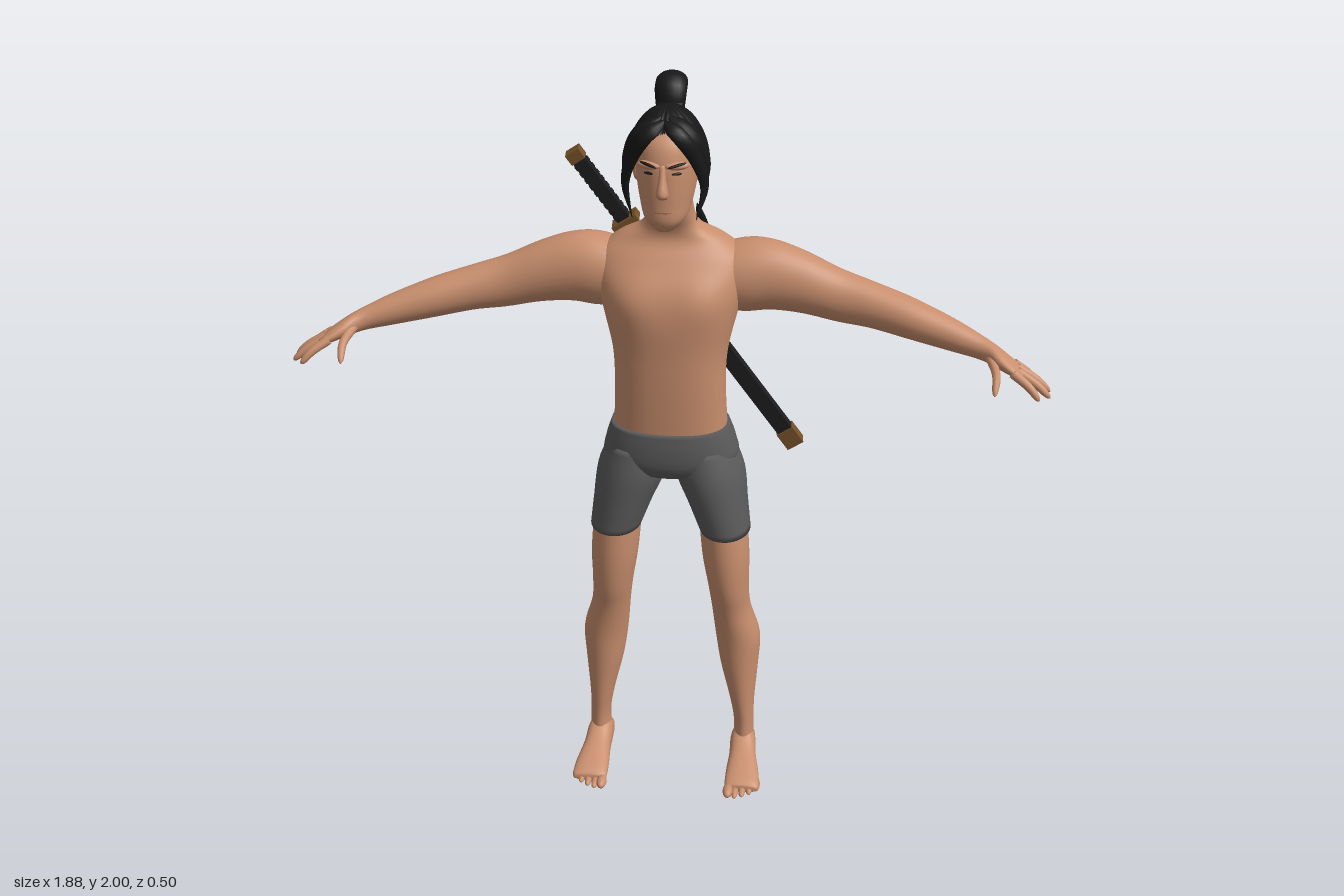
import * as THREE from 'three';

const V = (x, y, z) => new THREE.Vector3(x, y, z);
const material = (name, color) => {
  const m = new THREE.MeshStandardMaterial({ color });
  m.name = name;
  return m;
};

// Skin a row of rings { c, u, v, n }: centre, two half-axes, superellipse power
function skinRings(rings, sides = 32) {
  const pos = [], idx = [];
  const first = rings[0], last = rings[rings.length - 1];
  const flip = V(0, 0, 0).crossVectors(first.u, first.v).dot(rings[1].c.clone().sub(first.c)) < 0;
  const tri = (a, b, c) => (flip ? idx.push(a, c, b) : idx.push(a, b, c));
  const sp = (t, n) => Math.sign(t) * Math.abs(t) ** (2 / n);
  for (const r of rings) {
    for (let j = 0; j < sides; j++) {
      const a = (j / sides) * Math.PI * 2;
      const p = r.c.clone().addScaledVector(r.u, sp(Math.cos(a), r.n)).addScaledVector(r.v, sp(Math.sin(a), r.n));
      pos.push(p.x, p.y, p.z);
    }
  }
  for (let i = 0; i < rings.length - 1; i++) {
    for (let j = 0; j < sides; j++) {
      const a = i * sides + j, b = i * sides + ((j + 1) % sides);
      tri(a, b, a + sides);
      tri(b, b + sides, a + sides);
    }
  }
  // end caps
  const e = rings.length * sides, o = e - sides;
  pos.push(...first.c.toArray(), ...last.c.toArray());
  for (let j = 0; j < sides; j++) {
    const k = (j + 1) % sides;
    tri(e, k, j);
    tri(e + 1, o + j, o + k);
  }
  const g = new THREE.BufferGeometry();
  g.setAttribute('position', new THREE.Float32BufferAttribute(pos, 3));
  g.setIndex(idx);
  g.computeVertexNormals();
  return g;
}

// Smooth loft along one axis; rows are [along, centre1, centre2, radius1, radius2]
function loft(axis, rows, { s = 1, n = 2, steps = 5, sides = 32 } = {}) {
  const place = { y: (a, b, c) => V(b * s, a, c), x: (a, b, c) => V(a * s, b, c), z: (a, b, c) => V(b * s, c, a) }[axis];
  const curve = (f) => new THREE.CatmullRomCurve3(rows.map(f), false, 'catmullrom', 0.5);
  const centres = curve((r) => V(r[0], r[1], r[2])), radii = curve((r) => V(r[3], r[4], 0));
  const rings = [], count = (rows.length - 1) * steps;
  for (let i = 0; i <= count; i++) {
    const c = centres.getPoint(i / count), r = radii.getPoint(i / count);
    rings.push({ c: place(c.x, c.y, c.z), u: place(0, r.x, 0), v: place(0, 0, r.y), n });
  }
  return skinRings(rings, sides);
}

// Tapered strand along a path; side is the direction of its width
function strand(points, w, d, taper, side = V(1, 0, 0), sides = 10) {
  const curve = new THREE.CatmullRomCurve3(points.map((p) => V(...p)));
  const rings = [];
  for (let i = 0; i <= 20; i++) {
    const t = i / 20, k = taper(t), dir = curve.getTangent(t);
    const v = V(0, 0, 0).crossVectors(dir, side).normalize();
    const u = V(0, 0, 0).crossVectors(v, dir).normalize();
    rings.push({ c: curve.getPoint(t), u: u.multiplyScalar(w * k), v: v.multiplyScalar(d * k), n: 2 });
  }
  return skinRings(rings, sides);
}

// Push the surface in or out around a point
function bump(g, centre, radius, amount) {
  const p = g.attributes.position, nrm = g.attributes.normal;
  for (let i = 0; i < p.count; i++) {
    const q = V(0, 0, 0).fromBufferAttribute(p, i);
    const f = amount * Math.exp(-q.distanceToSquared(V(...centre)) / (radius * radius));
    q.addScaledVector(V(0, 0, 0).fromBufferAttribute(nrm, i), f);
    p.setXYZ(i, q.x, q.y, q.z);
  }
  g.computeVertexNormals();
  return g;
}

export function createModel() {
  const root = new THREE.Group();
  root.name = 'swordsman';
  const skin = material('skin', 0xc98f6e), cloth = material('grey cloth', 0x5c5b5b);
  const hair = material('black hair', 0x171717), lacquer = material('black lacquer', 0x1d1d1f);
  const brass = material('brass', 0x76532a), lip = material('lips', 0xae735b);
  const add = (name, g, m, parent = root) => {
    const mesh = new THREE.Mesh(g, m);
    mesh.name = name;
    parent.add(mesh);
    return mesh;
  };
  const ball = (name, m, p, r) => {
    const b = add(name, new THREE.SphereGeometry(1, 20, 14), m);
    b.position.set(...p);
    b.scale.set(...r);
    return b;
  };

  // Torso and neck
  const torso = loft('y', [
    [1.06, 0, 0.033, 0.148, 0.098], [1.2, 0, 0.045, 0.142, 0.097], [1.3, 0, 0.042, 0.146, 0.106],
    [1.4, 0, 0.033, 0.168, 0.12], [1.48, 0, 0.02, 0.188, 0.117], [1.545, 0, 0.008, 0.185, 0.092],
    [1.59, 0, 0.006, 0.135, 0.066], [1.625, 0, 0.02, 0.075, 0.054], [1.67, 0, 0.04, 0.057, 0.057],
    [1.75, 0, 0.07, 0.055, 0.055]], { n: 2.3, sides: 48 });
  for (const s of [1, -1]) {
    bump(torso, [s * 0.08, 1.45, 0.13], 0.055, 0.01);
    bump(torso, [s * 0.09, 1.48, -0.09], 0.05, 0.006);
  }
  for (const y of [1.15, 1.25, 1.35, 1.45]) bump(torso, [0, y, -0.07], 0.04, -0.007);
  add('torso', torso, skin);

  // Shorts seat
  const seat = loft('y', [
    [1.09, 0, 0.033, 0.153, 0.104], [1.04, 0, 0.026, 0.169, 0.114], [0.99, 0, 0.022, 0.174, 0.113],
    [0.955, 0, 0.025, 0.12, 0.09], [0.94, 0, 0.03, 0.04, 0.05]], { n: 2.3, sides: 48 });
  for (const s of [1, -1]) bump(seat, [s * 0.075, 1.0, -0.09], 0.05, 0.01);
  for (const y of [0.98, 1.03]) bump(seat, [0, y, -0.09], 0.025, -0.02);
  add('shortsSeat', seat, cloth);

  for (const s of [1, -1]) {
    const side = s > 0 ? 'left' : 'right';
    // Legs and feet
    add(side + 'ShortsLeg', loft('y', [
      [1.03, 0.088, 0.025, 0.075, 0.1], [0.95, 0.102, 0.023, 0.092, 0.114], [0.86, 0.126, 0.036, 0.079, 0.1],
      [0.78, 0.146, 0.042, 0.068, 0.089]], { s }), cloth);
    add(side + 'Leg', loft('y', [
      [0.82, 0.14, 0.042, 0.064, 0.084], [0.7, 0.15, 0.047, 0.063, 0.078], [0.6, 0.158, 0.04, 0.055, 0.073],
      [0.52, 0.166, 0.026, 0.053, 0.066], [0.42, 0.184, 0.008, 0.061, 0.068], [0.32, 0.19, 0.005, 0.052, 0.063],
      [0.2, 0.2, 0.006, 0.034, 0.051], [0.12, 0.206, 0.004, 0.028, 0.044], [0.04, 0.206, 0.002, 0.03, 0.046]], { s }), skin);
    add(side + 'Foot', loft('z', [
      [-0.053, 0.205, 0.028, 0.012, 0.015], [-0.035, 0.205, 0.036, 0.03, 0.034], [0.02, 0.206, 0.05, 0.036, 0.048],
      [0.07, 0.209, 0.037, 0.038, 0.037], [0.13, 0.213, 0.026, 0.046, 0.026], [0.175, 0.215, 0.018, 0.048, 0.018],
      [0.19, 0.215, 0.015, 0.042, 0.01]], { s, n: 2.4 }), skin);
    for (let i = 0; i < 5; i++) {
      const r = i ? 0.0095 : 0.014;
      ball(side + 'Toe', skin, [s * (0.178 + i * 0.0195), r, 0.2 - i * i * 0.0025], [r, r, 0.027]);
    }

    // Arms and hands
    add(side + 'Arm', loft('x', [
      [0.09, 1.48, 0, 0.075, 0.08], [0.18, 1.488, 0, 0.094, 0.083], [0.25, 1.492, 0.004, 0.09, 0.074],
      [0.33, 1.477, 0.008, 0.08, 0.066], [0.42, 1.449, 0.015, 0.068, 0.058], [0.5, 1.434, 0.03, 0.059, 0.055],
      [0.6, 1.412, 0.055, 0.052, 0.053], [0.7, 1.387, 0.084, 0.041, 0.042], [0.77, 1.368, 0.11, 0.03, 0.032],
      [0.81, 1.355, 0.135, 0.024, 0.041], [0.85, 1.337, 0.155, 0.016, 0.042], [0.87, 1.328, 0.161, 0.01, 0.034]], { s }), skin);
    const fingers = [
      [[0.85, 1.338, 0.126], [0.885, 1.316, 0.128], [0.905, 1.295, 0.126]],
      [[0.855, 1.337, 0.146], [0.905, 1.31, 0.153], [0.94, 1.281, 0.157]],
      [[0.855, 1.336, 0.167], [0.905, 1.308, 0.182], [0.938, 1.28, 0.192]],
      [[0.845, 1.337, 0.184], [0.885, 1.312, 0.208], [0.91, 1.285, 0.222]],
      [[0.79, 1.358, 0.14], [0.805, 1.335, 0.195], [0.802, 1.3, 0.24]]];
    fingers.forEach((f, i) => add(side + (i < 4 ? 'Finger' : 'Thumb'), strand(
      f.map(([x, y, z]) => [x * s, y, z]), 0.011, 0.011, (t) => (1.1 - 0.3 * t) * Math.sqrt(Math.max(0.02, 1 - t ** 8)),
      V(0, 0.3, 1)), skin));

    // Face details, one side
    ball(side + 'Ear', skin, [s * 0.076, 1.785, 0.08], [0.01, 0.031, 0.019]).rotation.x = -0.2;
    ball(side + 'BrowRidge', skin, [s * 0.033, 1.829, 0.192], [0.03, 0.01, 0.014]).rotation.y = s * 0.35;
    const brow = ball(side + 'Eyebrow', hair, [s * 0.034, 1.833, 0.203], [0.023, 0.0035, 0.0045]);
    brow.rotation.set(0, s * 0.4, s * 0.2);
    ball(side + 'Eye', hair, [s * 0.032, 1.811, 0.1975], [0.013, 0.0035, 0.0045]).rotation.y = s * 0.35;

    // Locks framing the face
    const lock = (t) => Math.max(0.04, Math.min(1, t * 5 + 0.3) * (1 - t ** 3));
    add(side + 'FrontLock', strand([[0, 1.925, 0.165], [s * 0.04, 1.897, 0.19], [s * 0.075, 1.84, 0.172],
      [s * 0.094, 1.77, 0.158], [s * 0.076, 1.69, 0.172]], 0.02, 0.011, lock, V(s * 0.8, 0.4, -0.5)), hair);
    add(side + 'SideLock', strand([[s * 0.01, 1.93, 0.145], [s * 0.065, 1.89, 0.155], [s * 0.095, 1.82, 0.135],
      [s * 0.092, 1.745, 0.14]], 0.024, 0.012, lock, V(s * 0.4, 0.2, -1)), hair);
  }

  // Head, nose and mouth
  add('head', loft('y', [
    [1.662, 0, 0.15, 0.024, 0.036], [1.69, 0, 0.138, 0.051, 0.064], [1.73, 0, 0.115, 0.064, 0.09],
    [1.78, 0, 0.1, 0.073, 0.107], [1.83, 0, 0.094, 0.077, 0.111], [1.88, 0, 0.092, 0.071, 0.096],
    [1.92, 0, 0.085, 0.04, 0.055], [1.93, 0, 0.085, 0.012, 0.02]], { n: 2.15 }), skin);
  add('nose', loft('y', [[1.832, 0, 0.2, 0.007, 0.006], [1.8, 0, 0.207, 0.009, 0.011],
    [1.765, 0, 0.212, 0.015, 0.019], [1.752, 0, 0.205, 0.011, 0.011]], { sides: 16 }), skin);
  ball('lips', lip, [0, 1.716, 0.197], [0.023, 0.006, 0.008]);

  // Swept-back hair: a ridged cap with an arched hairline
  const cap = new THREE.SphereGeometry(1, 96, 24);
  const cp = cap.attributes.position, uv = cap.attributes.uv;
  for (let i = 0; i < cp.count; i++) {
    const a = uv.getX(i) * Math.PI * 2, t = 1 - uv.getY(i);
    const front = Math.max(0, Math.cos(a)) ** 3;
    const th = t * (1.66 - 0.85 * front), r = 1 + 0.018 * Math.sin(a * 22) * t;
    cp.setXYZ(i, 0.099 * r * Math.sin(th) * Math.sin(a), 1.795 + 0.148 * r * Math.cos(th), 0.09 + 0.119 * r * Math.sin(th) * Math.cos(a));
  }
  cap.computeVertexNormals();
  hair.side = THREE.DoubleSide;
  add('hairCap', cap, hair);

  // Ponytail
  add('ponytail', strand([[0, 1.915, 0.045], [0, 1.962, 0.032], [0, 1.974, -0.003], [0, 1.93, -0.032],
    [0, 1.82, -0.037], [0, 1.7, -0.032]], 0.039, 0.026, (t) => Math.max(0.05, (0.85 + 0.15 * Math.sin(t * 6)) * (1 - t ** 5)), V(1, 0, 0), 20), hair);
  const tie = add('hairTie', new THREE.TorusGeometry(0.026, 0.009, 8, 24), hair);
  tie.position.set(0, 1.935, 0.04);
  tie.rotation.x = Math.PI / 2 + 0.3;

  // Loose pointed strands down the back
  let seed = 7;
  const rnd = () => (seed = (seed * 16807) % 2147483647) / 2147483647;
  for (let i = 0; i < 22; i++) {
    const x = -0.07 + 0.14 * (i / 21), edge = Math.abs(x) / 0.07;
    const top = 1.76 - 0.12 * edge - 0.1 * rnd(), end = 1.26 + 0.1 * edge + 0.06 * rnd(), z = -0.098 - 0.018 * rnd();
    add('backHair', strand([[x * 0.75, top, -0.068 - 0.02 * rnd()], [x * 1.05, top * 0.6 + end * 0.4, z],
      [x, end + 0.1, z], [x * 0.8 + 0.02 * (rnd() - 0.5), end, z + 0.01]], 0.015, 0.009,
      (t) => Math.max(0.03, Math.sin(Math.PI * Math.min(1, t ** 0.75)) ** 0.7)), hair);
  }

  // Sheathed sword slung across the back, built downwards from the pommel
  const sword = new THREE.Group();
  sword.name = 'sword';
  const top = V(-0.262, 1.763, -0.088), tip = V(0.315, 0.89, -0.243);
  const up = top.clone().sub(tip).normalize();
  const across = V(0, 0, 0).crossVectors(up, V(0, 0, 1)).normalize();
  sword.quaternion.setFromRotationMatrix(new THREE.Matrix4().makeBasis(across, up, V(0, 0, 0).crossVectors(across, up)));
  sword.position.copy(top);
  root.add(sword);
  const piece = (name, from, to, w, d, m) => {
    add(name, new THREE.BoxGeometry(w, to - from, d), m, sword).position.y = -(from + to) / 2;
  };
  piece('pommel', 0, 0.03, 0.04, 0.032, brass);
  piece('grip', 0.03, 0.225, 0.034, 0.026, lacquer);
  for (let i = 0; i < 9; i++) piece('gripWrap', 0.038 + i * 0.021, 0.05 + i * 0.021, 0.037, 0.029, lacquer);
  piece('guard', 0.225, 0.245, 0.072, 0.046, brass);
  piece('sheathCollar', 0.245, 0.28, 0.047, 0.034, brass);
  piece('sheath', 0.28, 1.0, 0.043, 0.027, lacquer);
  piece('sheathCap', 1.0, 1.058, 0.05, 0.034, brass);
  return root;
}
